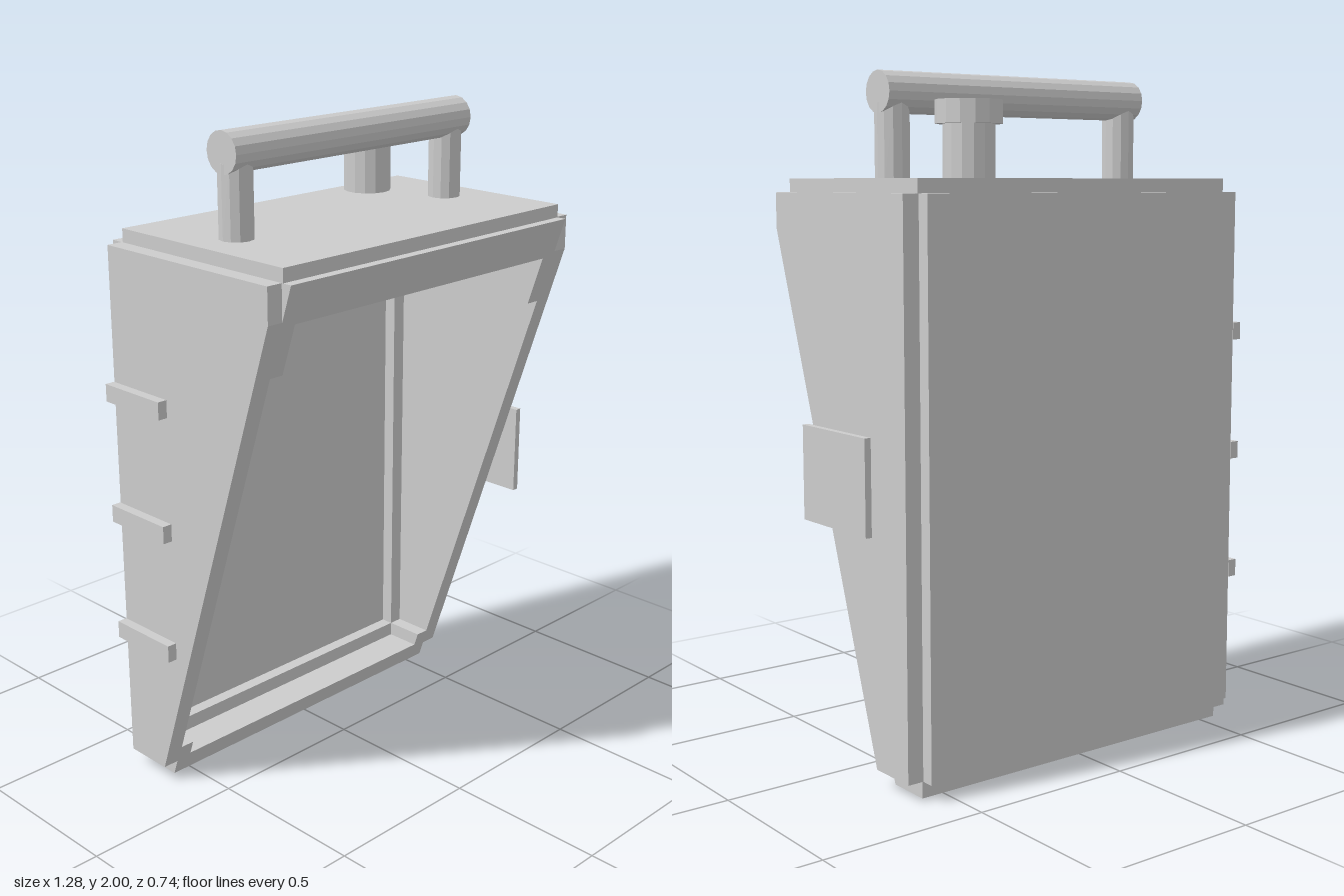
import * as THREE from 'three';

// depth of the sloping front plane at height y
const slope = (y) => 0.37 + (y - 1.66) * 0.335;
const heightAt = (z) => 1.66 + (z - 0.37) / 0.335;

export function createModel() {
  const model = new THREE.Group();
  const grey = new THREE.MeshStandardMaterial({ color: 0xcccccc });
  grey.flatShading = true;

  const add = (name, geometry, x = 0, y = 0, z = 0) => {
    const mesh = new THREE.Mesh(geometry, grey);
    mesh.name = name;
    mesh.position.set(x, y, z);
    model.add(mesh);
    return mesh;
  };
  const box = (name, x0, x1, y0, y1, z0, z1) =>
    add(name, new THREE.BoxGeometry(x1 - x0, y1 - y0, z1 - z0),
      (x0 + x1) / 2, (y0 + y1) / 2, (z0 + z1) / 2);
  // side profile given as [z, y] points, extruded from x0 to x1
  const slab = (name, x0, x1, points) => {
    const shape = new THREE.Shape(points.map(([z, y]) => new THREE.Vector2(z, y)));
    const geometry = new THREE.ExtrudeGeometry(shape, { depth: x1 - x0, bevelEnabled: false });
    geometry.rotateY(-Math.PI / 2);
    return add(name, geometry, x1);
  };

  // stepped outer outline of the casing, from the front top round the back to the front bottom
  const outline = [
    [slope(1.66), 1.66], [0.34, 1.66], [0.34, 1.70], [-0.32, 1.70], [-0.32, 1.66],
    [-0.365, 1.66], [-0.365, 0.05], [-0.32, 0.05], [-0.32, 0], [slope(0), 0],
  ];

  // middle of the casing with its tall cavity and the recess in the back wall
  slab('casingMiddle', -0.51, 0.52, [
    ...outline,
    [slope(0.06), 0.06], [-0.28, 0.06], [-0.28, 0.105], [-0.32, 0.105],
    [-0.32, 1.39], [-0.28, 1.39], [-0.28, 1.54], [slope(1.54), 1.54],
  ]);

  // casing edges, where the cavity is lower
  for (const [name, x0, x1] of [['casingRightEdge', -0.56, -0.51], ['casingLeftEdge', 0.52, 0.57]]) {
    slab(name, x0, x1, [
      ...outline,
      [slope(0.105), 0.105], [-0.28, 0.105], [-0.28, 1.39], [slope(1.39), 1.39],
    ]);
  }

  // outer side panels
  for (const [name, x0, x1] of [['rightPanel', -0.61, -0.555], ['leftPanel', 0.565, 0.62]]) {
    slab(name, x0, x1, [
      [-0.325, 0.05], [slope(0.05), 0.05], [0.335, heightAt(0.335)], [0.335, 1.66], [-0.325, 1.66],
    ]);
  }

  // plate on the left side, ribs on the right side
  box('sidePlate', 0.62, 0.64, 0.715, 0.995, -0.157, 0.172);
  for (const y of [0.45, 0.83, 1.205]) box('sideRib', -0.64, -0.61, y, y + 0.053, -0.327, -0.09);

  // carrying handle on two posts
  const bar = add('handleBar', new THREE.CylinderGeometry(0.06, 0.06, 0.945, 16), 0.005, 1.94, 0.006);
  bar.rotation.z = Math.PI / 2;
  for (const x of [-0.42, 0.43]) {
    add('handlePost', new THREE.CylinderGeometry(0.05, 0.05, 0.22, 12), x, 1.80, 0.006);
  }

  // capped filler neck
  add('neck', new THREE.CylinderGeometry(0.073, 0.073, 0.16, 14), 0.335, 1.775, -0.23);
  add('cap', new THREE.CylinderGeometry(0.094, 0.094, 0.065, 14), 0.335, 1.88, -0.23);

  return model;
}
